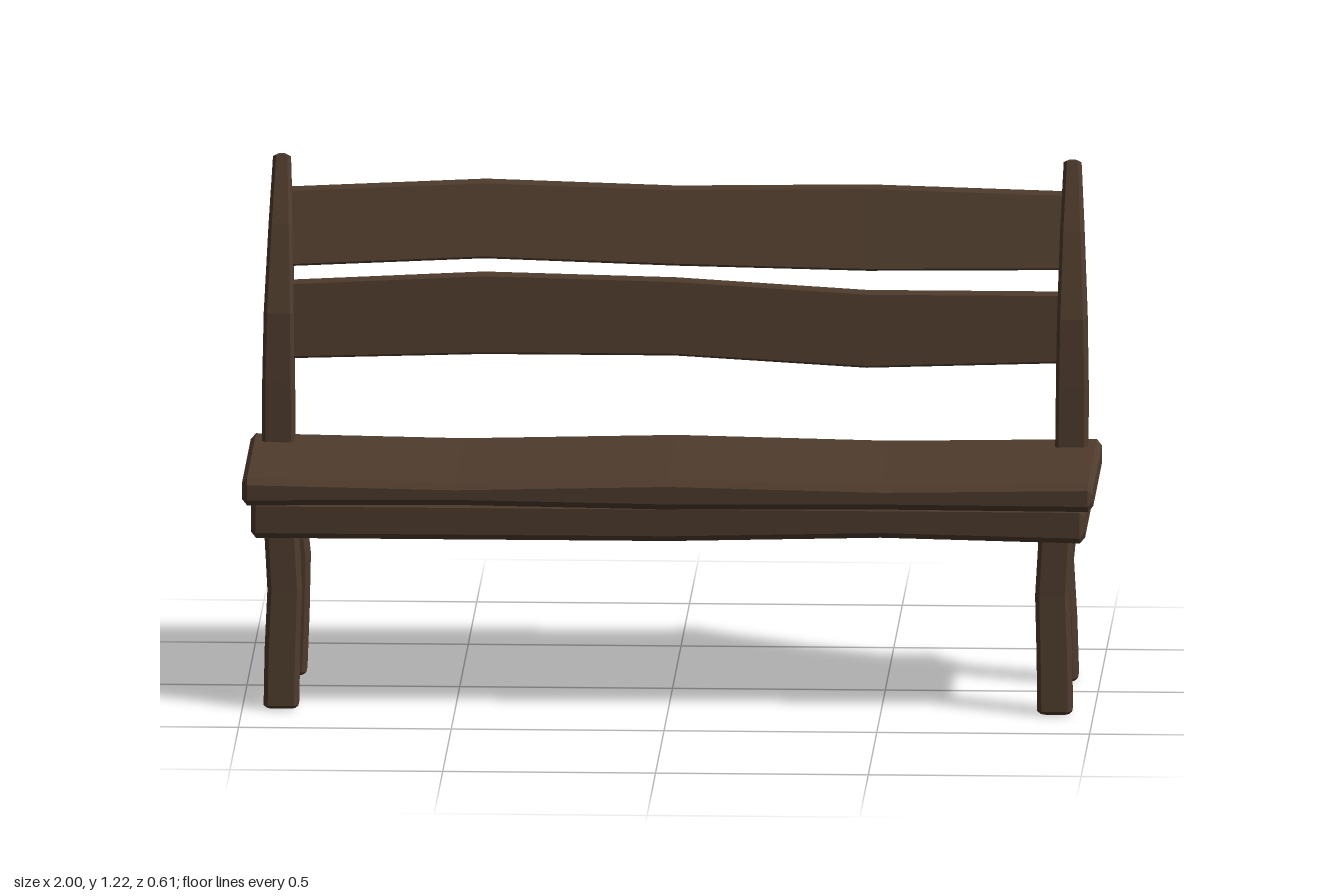
import * as THREE from 'three';

const wood = new THREE.MeshStandardMaterial({ color: 0x4f3c2d });
wood.name = 'dark brown wood';
wood.flatShading = true;

// Bevelled rectangle cross-section: 8 corner points [a, b]
function section(a0, a1, b0, b1, v) {
  return [[a0 + v, b0], [a1 - v, b0], [a1, b0 + v], [a1, b1 - v],
    [a1 - v, b1], [a0 + v, b1], [a0, b1 - v], [a0, b0 + v]];
}

// Lofts stations [position, a0, a1, b0, b1] along x (a = y, b = z) or y (a = x, b = z).
// The first and last stations get a small chamfer; warp adjusts each finished point.
function loft(name, axis, stations, bevel, chamfer, warp = () => {}) {
  const list = stations.map((s) => [...s]);
  const inset = (s, pos) => [pos, s[1] + chamfer, s[2] - chamfer, s[3] + chamfer, s[4] - chamfer];
  const first = list[0], last = list[list.length - 1];
  list.unshift(inset(first, first[0]));
  list.push(inset(last, last[0]));
  first[0] += chamfer;
  last[0] -= chamfer;
  const rings = list.map(([p, a0, a1, b0, b1]) => section(a0, a1, b0, b1, bevel).map(([a, b]) => {
    const v = axis === 'x' ? new THREE.Vector3(p, a, b) : new THREE.Vector3(a, p, b);
    warp(v);
    return v;
  }));
  const out = [];
  const tri = (a, b, c) => {
    const order = axis === 'x' ? [a, b, c] : [a, c, b];
    order.forEach((v) => out.push(v.x, v.y, v.z));
  };
  for (let i = 0; i < rings.length - 1; i++) {
    for (let j = 0; j < 8; j++) {
      const k = (j + 1) % 8, r = rings[i], s = rings[i + 1];
      tri(r[j], r[k], s[k]);
      tri(r[j], s[k], s[j]);
    }
  }
  const start = rings[0], end = rings[rings.length - 1];
  for (let j = 1; j < 7; j++) {
    tri(start[0], start[j + 1], start[j]);
    tri(end[0], end[j], end[j + 1]);
  }
  // Keep the faces outward: flip when the enclosed volume is negative
  let volume = 0;
  const p = (i) => new THREE.Vector3().fromArray(out, i);
  for (let i = 0; i < out.length; i += 9) volume += p(i).dot(p(i + 3).cross(p(i + 6)));
  if (volume < 0) {
    for (let i = 0; i < out.length; i += 9) {
      for (let c = 0; c < 3; c++) [out[i + 3 + c], out[i + 6 + c]] = [out[i + 6 + c], out[i + 3 + c]];
    }
  }
  const geometry = new THREE.BufferGeometry();
  geometry.setAttribute('position', new THREE.Float32BufferAttribute(out, 3));
  geometry.computeVertexNormals();
  const mesh = new THREE.Mesh(geometry, wood);
  mesh.name = name;
  return mesh;
}

export function createModel() {
  const bench = new THREE.Group();
  bench.name = 'bench';

  // Seat board and the thick frame under it, both slightly wavy
  bench.add(loft('seat', 'x', [
    [-1, 0.49, 0.556, -0.248, 0.308], [-0.5, 0.495, 0.548, -0.248, 0.308],
    [0, 0.488, 0.56, -0.248, 0.308], [0.5, 0.492, 0.55, -0.248, 0.308],
    [1, 0.49, 0.558, -0.248, 0.308]], 0.015, 0.012));
  bench.add(loft('seatFrame', 'x', [
    [-0.98, 0.408, 0.5, -0.222, 0.285], [-0.5, 0.408, 0.5, -0.222, 0.285],
    [0, 0.408, 0.5, -0.222, 0.285], [0.5, 0.42, 0.5, -0.222, 0.285],
    [0.98, 0.41, 0.5, -0.222, 0.285]], 0.014, 0.012));

  // Hand-hewn back slats leaning with the posts
  const lean = (y0, slope) => (v) => { v.z -= (v.y - y0) * slope; };
  bench.add(loft('upperSlat', 'x', [
    [-0.92, 0.965, 1.137, -0.225, -0.19], [-0.45, 0.985, 1.157, -0.23, -0.195],
    [0, 0.972, 1.145, -0.23, -0.195], [0.45, 0.964, 1.151, -0.23, -0.195],
    [0.92, 0.97, 1.14, -0.225, -0.19]], 0.005, 0.004, lean(0.97, 0.4)));
  bench.add(loft('lowerSlat', 'x', [
    [-0.92, 0.75, 0.928, -0.195, -0.16], [-0.45, 0.763, 0.95, -0.2, -0.163],
    [0, 0.763, 0.94, -0.2, -0.163], [0.45, 0.738, 0.914, -0.2, -0.163],
    [0.92, 0.753, 0.915, -0.195, -0.16]], 0.005, 0.004, lean(0.75, 0.14)));

  // Posts and legs, mirrored left and right
  for (const side of [1, -1]) {
    const label = side > 0 ? 'left' : 'right';
    const upright = (name, stations, bevel, chamfer, warp) => bench.add(loft(label + name, 'y',
      stations.map(([y, x0, x1, z0, z1]) => (side > 0 ? [y, x0, x1, z0, z1] : [y, -x1, -x0, z0, z1])),
      bevel, chamfer, warp));
    upright('BackPost', [
      [0.5, 0.893, 0.97, -0.208, -0.132], [0.7, 0.895, 0.97, -0.213, -0.139],
      [0.86, 0.897, 0.967, -0.226, -0.151], [1.06, 0.902, 0.958, -0.266, -0.208],
      [1.21, 0.908, 0.95, -0.306, -0.272]], 0.008, 0.006,
    (v) => { if (v.y > 1.15) v.y += (v.z + 0.29) * 0.7; });
    upright('FrontLeg', [
      [0, 0.868, 0.95, 0.21, 0.284], [0.14, 0.866, 0.948, 0.205, 0.273],
      [0.28, 0.862, 0.942, 0.193, 0.26], [0.43, 0.87, 0.95, 0.18, 0.25]], 0.01, 0.008);
    upright('BackLeg', [
      [0, 0.865, 0.948, -0.195, -0.11], [0.14, 0.86, 0.944, -0.195, -0.11],
      [0.28, 0.857, 0.936, -0.195, -0.11], [0.43, 0.872, 0.95, -0.195, -0.11]], 0.01, 0.008);
  }
  return bench;
}
